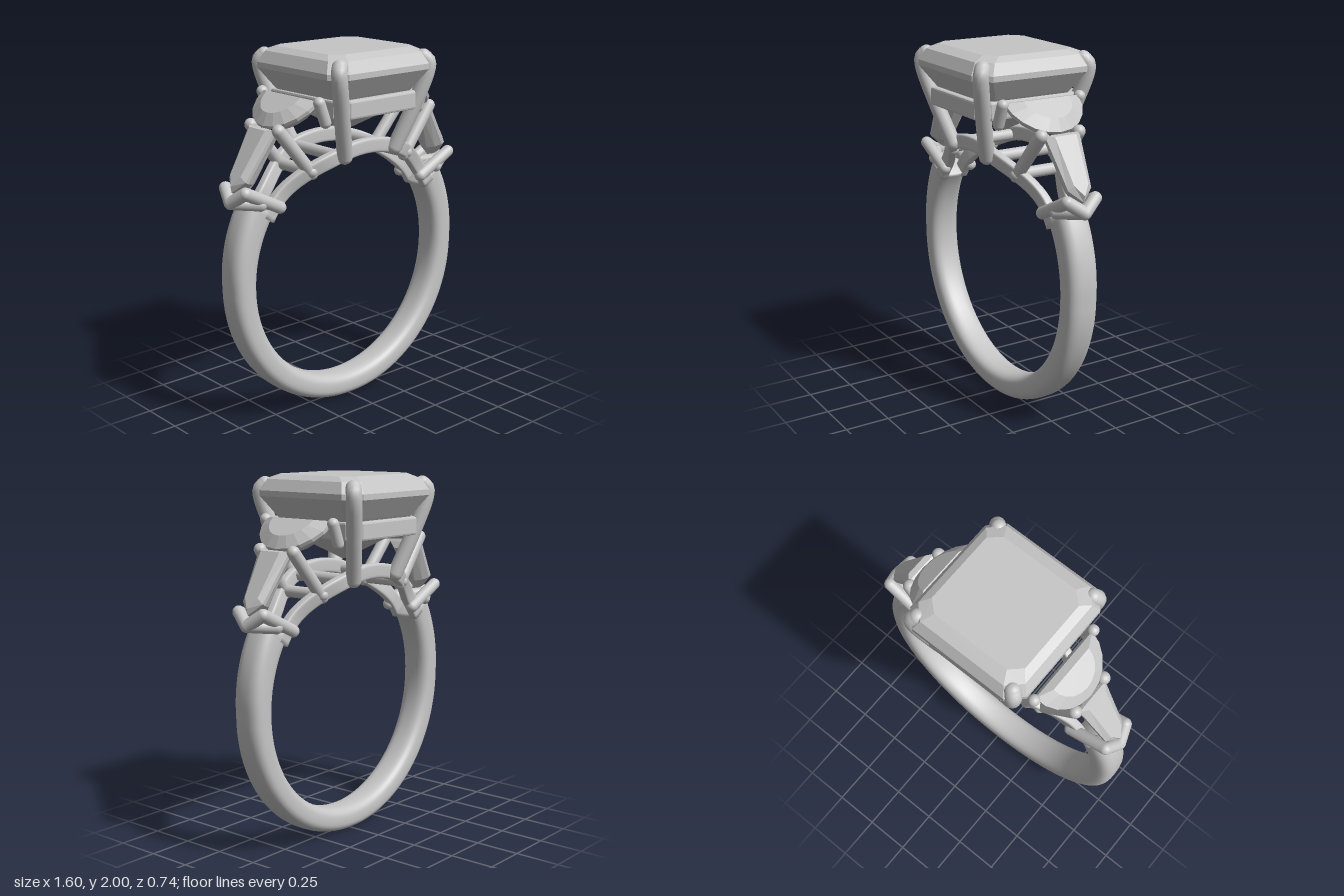
import * as THREE from 'three';

const metal = new THREE.MeshStandardMaterial({ color: 0xc6c6c6 });
metal.name = 'silver grey';
const CY = 0.79; // height of the band's centre
const V = (x, y, z) => new THREE.Vector3(x, y, z);
const rad = THREE.MathUtils.degToRad;

function add(parent, name, geometry) {
  const mesh = new THREE.Mesh(geometry, metal);
  mesh.name = name;
  parent.add(mesh);
  return mesh;
}

// Straight rod with round ends
function rod(parent, name, a, b, r) {
  const dir = b.clone().sub(a);
  const mesh = add(parent, name, new THREE.CapsuleGeometry(r, dir.length(), 8, 18));
  mesh.position.copy(a).add(b).multiplyScalar(0.5);
  mesh.quaternion.setFromUnitVectors(V(0, 1, 0), dir.normalize());
}

// Curved rod with round ends
function bentRod(parent, name, points, r) {
  const group = new THREE.Group();
  group.name = name;
  parent.add(group);
  add(group, name + 'Shaft', new THREE.TubeGeometry(new THREE.CatmullRomCurve3(points), 32, r, 16));
  for (const p of [points[0], points[points.length - 1]]) {
    add(group, name + 'End', new THREE.SphereGeometry(r, 16, 12)).position.copy(p);
  }
}

// Rounded section swept round the finger hole; section(a) gives inner, outer, z centre, half width
function sweep(a0, a1, steps, power, section) {
  const pos = [], index = [], sides = 32;
  const round = (c) => Math.sign(c) * Math.pow(Math.abs(c), 2 / power);
  for (let i = -1; i <= steps + 1; i++) {
    const f = THREE.MathUtils.clamp(i / steps, 0, 1);
    const a = a0 + (a1 - a0) * f;
    const [ri, ro, zc, hz] = section(a);
    const s = i < 0 || i > steps ? 0 : 1; // close the ends
    for (let j = 0; j < sides; j++) {
      const t = (j / sides) * Math.PI * 2;
      const r = (ri + ro) / 2 + s * round(Math.cos(t)) * (ro - ri) / 2;
      pos.push(r * Math.cos(a), CY + r * Math.sin(a), zc + s * round(Math.sin(t)) * hz);
    }
  }
  for (let i = 0; i < steps + 2; i++) {
    for (let j = 0; j < sides; j++) {
      const k = (j + 1) % sides;
      const p = i * sides + j, q = i * sides + k;
      index.push(p, p + sides, q + sides, p, q + sides, q);
    }
  }
  const g = new THREE.BufferGeometry();
  g.setAttribute('position', new THREE.Float32BufferAttribute(pos, 3));
  g.setIndex(index);
  g.computeVertexNormals();
  return g;
}

// Faceted stone: one outline [x, z] scaled about cx at each layer [y, scaleX, scaleZ], top to bottom
function gem(outline, cx, layers) {
  const pos = [], n = outline.length;
  const rings = layers.map(([y, sx, sz]) => outline.map(([x, z]) => [cx + (x - cx) * sx, y, z * sz]));
  const tri = (...p) => p.forEach((q) => pos.push(...q));
  for (let j = 0; j < n; j++) {
    const k = (j + 1) % n;
    for (let i = 0; i < rings.length - 1; i++) {
      const [a, b] = [rings[i], rings[i + 1]];
      tri(a[j], b[j], b[k]);
      tri(a[j], b[k], a[k]);
    }
    const last = rings[rings.length - 1];
    tri([cx, layers[0][0], 0], rings[0][j], rings[0][k]);
    tri([cx, last[0][1], 0], last[k], last[j]);
  }
  const g = new THREE.BufferGeometry();
  g.setAttribute('position', new THREE.Float32BufferAttribute(pos, 3));
  g.computeVertexNormals();
  return g;
}

// Square with cut corners, half width h and corner cut c
function cutSquare(hx, hz, c) {
  return [[hx, hz - c], [hx, c - hz], [hx - c, -hz], [c - hx, -hz],
    [-hx, c - hz], [-hx, hz - c], [c - hx, hz], [hx - c, hz]];
}

function createSide() {
  const side = new THREE.Group();
  side.name = 'shoulder';

  // Half-moon stone, sloping outward
  const moon = [];
  for (let i = 0; i <= 10; i++) {
    const t = Math.PI / 2 - (i / 10) * Math.PI;
    moon.push([0.225 * Math.cos(t), 0.225 * Math.sin(t)]);
  }
  const halfMoon = add(side, 'halfMoonStone', gem(moon, 0.07, [
    [0.045, 0.6, 0.62], [0.01, 1, 1], [-0.01, 1, 1], [-0.06, 0.7, 0.7], [-0.12, 0.1, 0.2],
  ]));
  halfMoon.position.set(0.365, 1.765, 0);
  halfMoon.rotation.z = -0.65;

  // Tapered stone with a pointed lower end
  const taper = [[0, 0.105], [0.3, 0.07], [0.37, 0], [0.3, -0.07], [0, -0.105]];
  const tapered = add(side, 'taperedStone', gem(taper, 0.16, [
    [0.035, 0.88, 0.62], [0.01, 1, 1], [-0.01, 1, 1], [-0.05, 0.92, 0.72], [-0.085, 0.8, 0.3],
  ]));
  tapered.position.set(0.55, 1.625, 0);
  tapered.rotation.z = -1.0;

  for (const s of [1, -1]) {
    // Prongs between the stones
    rod(side, 'halfMoonProng', V(0.37, 1.765, 0.235 * s), V(0.33, 1.66, 0.235 * s), 0.031);
    rod(side, 'shoulderProng', V(0.54, 1.625, 0.115 * s), V(0.335, 1.375, 0.13 * s), 0.035);
    // Pointed end clasp
    rod(side, 'claspArm', V(0.515, 1.215, 0.085 * s), V(0.735, 1.325, 0.085 * s), 0.034);
    rod(side, 'claspPoint', V(0.735, 1.325, 0.085 * s), V(0.768, 1.265, 0), 0.034);
    rod(side, 'claspBase', V(0.64, 1.25, 0.085 * s), V(0.765, 1.265, 0), 0.034);
  }
  // Cross bars under the stones
  for (const [deg, z] of [[60, 0.14], [74, 0.18]]) {
    const x = 0.69 * Math.cos(rad(deg)), y = CY + 0.69 * Math.sin(rad(deg));
    rod(side, 'crossBar', V(x, y, -z), V(x, y, z), 0.032);
  }
  return side;
}

export function createModel() {
  const ring = new THREE.Group();
  ring.name = 'ring';

  // Band, growing thicker toward the shoulders
  add(ring, 'band', sweep(rad(-215), rad(35), 120, 2.8, (a) => {
    const up = Math.max(0, Math.sin(a));
    return [0.653, 0.79 + 0.01 * Math.abs(Math.cos(a)) + 0.06 * up, 0, 0.09];
  }));

  // Twin gallery rails, spreading under the centre stone
  for (const s of [1, -1]) {
    add(ring, 'galleryRail', sweep(rad(32), rad(148), 60, 5, (a) => {
      const t = THREE.MathUtils.smoothstep(90 - Math.abs(THREE.MathUtils.radToDeg(a) - 90), 40, 76);
      return [0.653, 0.735, s * (0.065 + 0.12 * t), 0.026];
    }));
  }

  // Centre stone with cut corners
  add(ring, 'centreStone', gem(cutSquare(0.362, 0.365, 0.08), 0, [
    [2.0, 0.79, 0.72], [1.975, 0.91, 0.9], [1.915, 1, 1], [1.885, 1, 1],
    [1.78, 0.8, 0.8], [1.67, 0.58, 0.58], [1.54, 0.02, 0.02],
  ]));

  // Frame under the centre stone
  const frame = new THREE.Shape(cutSquare(0.285, 0.31, 0.06).map(([x, y]) => new THREE.Vector2(x, y)));
  frame.holes.push(new THREE.Path(cutSquare(0.215, 0.24, 0.06).map(([x, y]) => new THREE.Vector2(x, y))));
  const seat = add(ring, 'stoneFrame', new THREE.ExtrudeGeometry(frame, {
    depth: 0.075, bevelEnabled: true, bevelSize: 0.01, bevelThickness: 0.012, bevelSegments: 2,
  }));
  seat.rotation.x = -Math.PI / 2;
  seat.position.y = 1.682;

  // Corner prongs
  for (const sx of [1, -1]) {
    for (const sz of [1, -1]) {
      bentRod(ring, 'cornerProng', [
        V(0.18 * sx, 1.455, 0.215 * sz), V(0.255 * sx, 1.68, 0.28 * sz),
        V(0.31 * sx, 1.87, 0.325 * sz), V(0.314 * sx, 1.92, 0.325 * sz), V(0.295 * sx, 1.945, 0.308 * sz),
      ], 0.042);
    }
  }

  // Matching shoulders
  const left = createSide();
  const right = createSide();
  right.rotation.y = Math.PI;
  ring.add(left, right);
  return ring;
}
